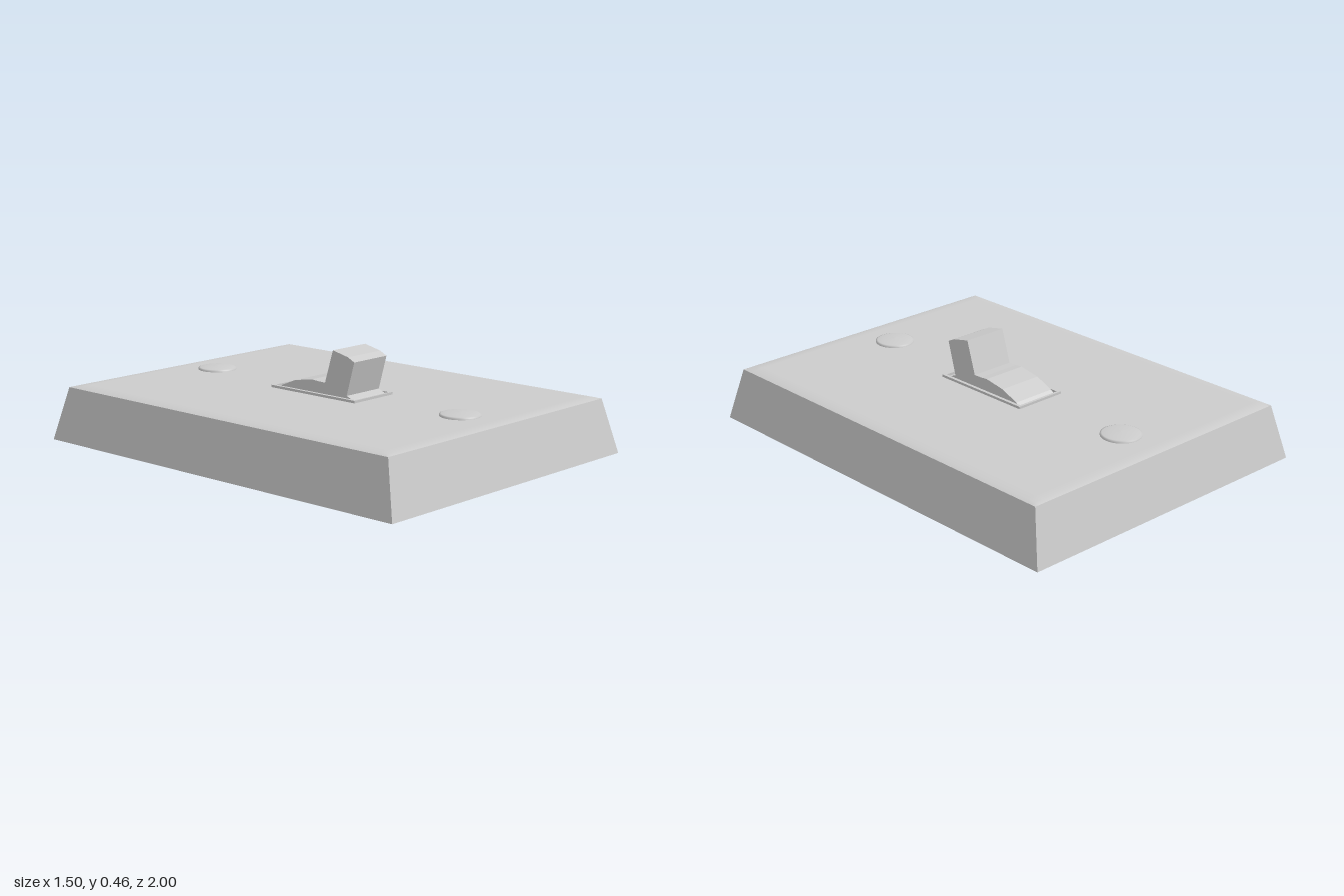
import * as THREE from 'three';

const material = new THREE.MeshStandardMaterial({ color: 0xcccccc });

function add(parent, name, geometry, x = 0, y = 0, z = 0) {
  const mesh = new THREE.Mesh(geometry, material);
  mesh.name = name;
  mesh.position.set(x, y, z);
  parent.add(mesh);
  return mesh;
}

// Box whose top face is narrowed to the given half sizes
function taperedBox(width, height, depth, topX, topZ) {
  const geometry = new THREE.BoxGeometry(width, height, depth);
  const p = geometry.attributes.position;
  for (let i = 0; i < p.count; i++) {
    if (p.getY(i) > 0) {
      p.setX(i, Math.sign(p.getX(i)) * topX);
      p.setZ(i, Math.sign(p.getZ(i)) * topZ);
    }
  }
  geometry.computeVertexNormals();
  return geometry;
}

// Shallow crown: a flat centre with a softly sloping border
function crown(halfX, halfZ, border, rise) {
  const geometry = new THREE.PlaneGeometry(2, 2, 5, 5).rotateX(-Math.PI / 2);
  const p = geometry.attributes.position;
  const insets = [0, border / 3, border];
  const heights = [0, rise * 0.65, rise];
  for (let i = 0; i < p.count; i++) {
    const stepX = Math.round((1 - Math.abs(p.getX(i))) / 0.4);
    const stepZ = Math.round((1 - Math.abs(p.getZ(i))) / 0.4);
    p.setXYZ(i,
      Math.sign(p.getX(i)) * (halfX - insets[stepX]),
      heights[Math.min(stepX, stepZ)],
      Math.sign(p.getZ(i)) * (halfZ - insets[stepZ]));
  }
  geometry.computeVertexNormals();
  return geometry;
}

function rectangle(target, halfX, halfY) {
  target.moveTo(-halfX, -halfY);
  target.lineTo(halfX, -halfY);
  target.lineTo(halfX, halfY);
  target.lineTo(-halfX, halfY);
  target.closePath();
  return target;
}

export function createModel() {
  const model = new THREE.Group();
  model.name = 'wallSwitch';

  // Cover plate
  add(model, 'plateBody', taperedBox(1.5, 0.24, 2, 0.703, 0.937), 0, 0.12, 0);
  add(model, 'plateCrown', crown(0.703, 0.937, 0.06, 0.009), 0, 0.24, 0);

  // Raised rim around the slot
  const rim = rectangle(new THREE.Shape(), 0.124, 0.246);
  rim.holes.push(rectangle(new THREE.Path(), 0.109, 0.234));
  const rimGeometry = new THREE.ExtrudeGeometry(rim, { depth: 0.018, bevelEnabled: false });
  add(model, 'slotRim', rimGeometry.rotateX(-Math.PI / 2), 0, 0.242, 0);

  // Toggle: side profile as (z, y), extruded across the width
  const profile = [
    [-0.228, 0.245], [-0.205, 0.261], [-0.12, 0.296],
    [-0.02, 0.313], [0.015, 0.31], [0.057, 0.309], [0.103, 0.457], [0.19, 0.438],
    [0.226, 0.42], [0.183, 0.269], [0.215, 0.256], [0.23, 0.245],
  ].map(([z, y]) => new THREE.Vector2(z, y));
  const width = 0.208;
  const toggle = new THREE.ExtrudeGeometry(new THREE.Shape(profile), { depth: width, bevelEnabled: false });
  add(model, 'toggle', toggle.translate(0, 0, -width / 2).rotateY(-Math.PI / 2));

  // Domed screw heads
  const head = [[0.088, -0.005], [0.088, 0.007], [0.08, 0.01], [0.055, 0.013], [0.028, 0.015], [0, 0.016]]
    .map(([r, y]) => new THREE.Vector2(r, y));
  for (const side of [-1, 1]) {
    add(model, side > 0 ? 'frontScrew' : 'backScrew', new THREE.LatheGeometry(head, 40), 0, 0.249, side * 0.72);
  }

  return model;
}
